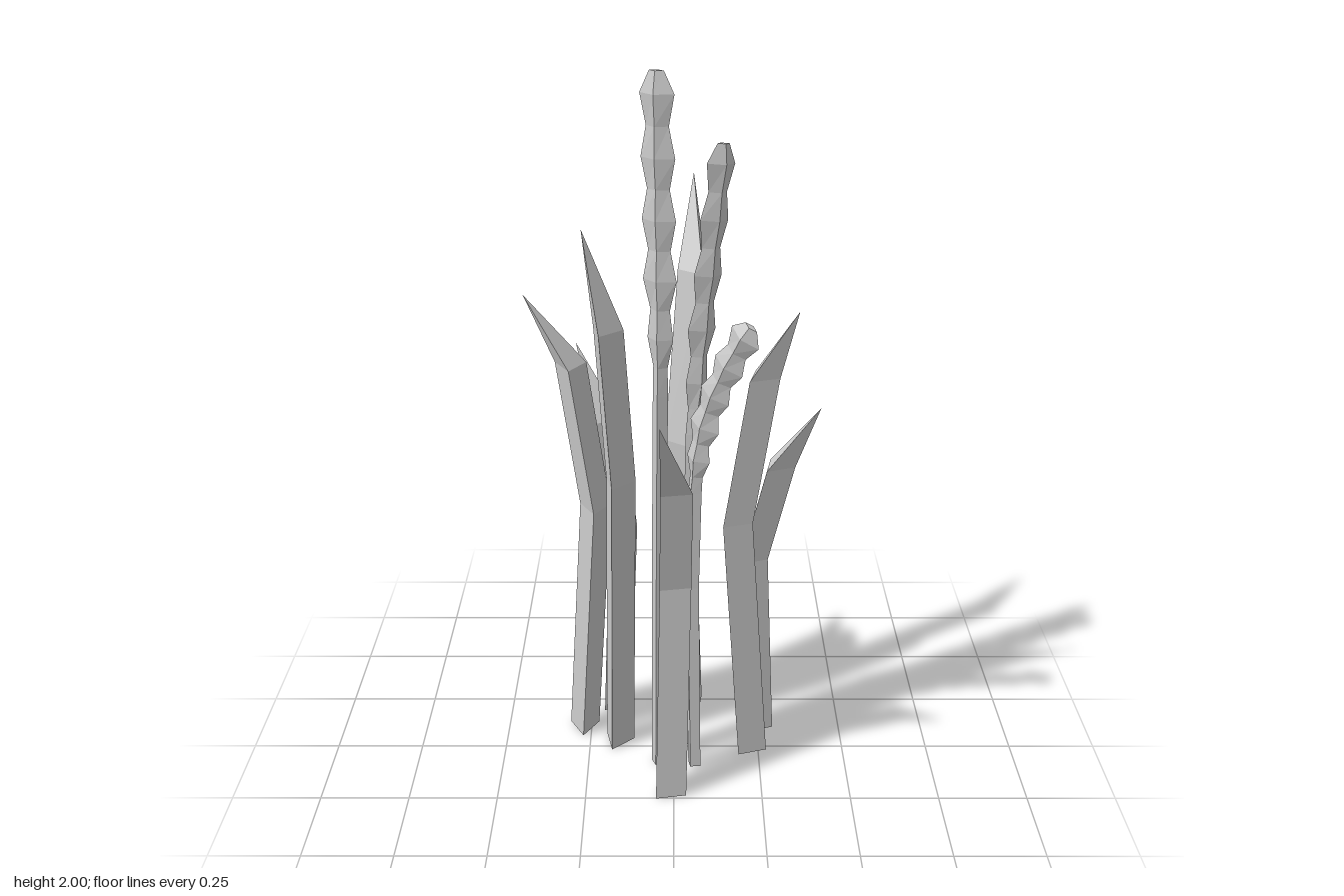
import * as THREE from 'three';

const V = (x, y, z) => new THREE.Vector3(x, y, z);
const material = new THREE.MeshStandardMaterial({ color: 0xcccccc, flatShading: true });

// Joins a stack of equal-sized rings into a closed, faceted skin
function skin(name, rings) {
  const pos = [];
  const tri = (a, b, c) => {
    const area = b.clone().sub(a).cross(c.clone().sub(a)).length();
    if (area > 1e-8) for (const p of [a, b, c]) pos.push(p.x, p.y, p.z);
  };
  const n = rings[0].length, last = rings[rings.length - 1];
  for (let i = 0; i + 1 < rings.length; i++) {
    for (let k = 0; k < n; k++) {
      const j = (k + 1) % n, lo = rings[i], hi = rings[i + 1];
      tri(lo[k], hi[k], lo[j]);
      tri(lo[j], hi[k], hi[j]);
    }
  }
  for (let k = 1; k + 1 < n; k++) {
    tri(rings[0][0], rings[0][k], rings[0][k + 1]);
    tri(last[0], last[k + 1], last[k]);
  }
  const geometry = new THREE.BufferGeometry();
  geometry.setAttribute('position', new THREE.Float32BufferAttribute(pos, 3));
  geometry.computeVertexNormals();
  const mesh = new THREE.Mesh(geometry, material);
  mesh.name = name;
  return mesh;
}

// Grass blade: three-sided prism, kinked inwards, then bent out to a sharp tip
function blade({ name, ridge, base, bend, neck, tip, neckY, tipY }) {
  const ring = ([x, z], y, r) => [0, 1, 2].map((k) => {
    const a = THREE.MathUtils.degToRad(ridge + k * 120);
    return V(x + r * Math.cos(a), y, z + r * Math.sin(a));
  });
  return skin(name, [
    ring(base, 0, 0.05), ring(bend, tipY * 0.55, 0.05),
    ring(neck, neckY, 0.05), ring(tip, tipY, 0),
  ]);
}

// Grain stalk: thin stem that swells into a flat ear with notched edges
function stalk({ name, wide, path, earStart, notches }) {
  const group = new THREE.Group();
  group.name = name;
  const curve = new THREE.CatmullRomCurve3(path.map((p) => V(...p)));
  const wideDir = V(wide[0], 0, wide[1]).normalize();
  const ring = (u, w, t) => {
    const c = curve.getPointAt(u);
    const along = u === 0 ? V(0, 1, 0) : curve.getTangentAt(u);
    const W = wideDir.clone().addScaledVector(along, -wideDir.dot(along)).normalize();
    const T = W.clone().cross(along);
    return [[w, 0], [0, t], [-w, 0], [0, -t]].map(([a, b]) =>
      c.clone().addScaledVector(W, a).addScaledVector(T, b));
  };
  const stem = [0, 0.33, 0.67, 1].map((f) => ring(f * earStart, 0.022, 0.02));
  const ear = [ring(earStart, 0.022, 0.02)];
  for (let i = 1; i <= notches * 2; i++) {
    const f = i / (notches * 2 + 0.7);
    const swell = Math.min(1, 0.55 + f * 1.2);
    const peak = i % 2 === 0;
    ear.push(ring(earStart + (1 - earStart) * f,
      (peak ? 0.047 : 0.031) * swell, peak ? 0.023 : 0.018));
  }
  ear.push(ring(1, 0.02, 0.01));
  group.add(skin('stem', stem), skin('ear', ear));
  return group;
}

// Positions are [x, z]; ridge is the heading of the sharp back edge in degrees
const blades = [
  { name: 'frontBlade', ridge: 20, base: [-0.012, 0.22], bend: [0, 0.18],
    neck: [0.003, 0.225], tip: [-0.035, 0.35], neckY: 0.95, tipY: 1.18 },
  { name: 'leftTallBlade', ridge: 13, base: [0.225, 0.005], bend: [0.17, 0.008],
    neck: [0.235, -0.002], tip: [0.33, 0.015], neckY: 1.18, tipY: 1.37 },
  { name: 'leftShortBlade', ridge: 10, base: [0.25, -0.11], bend: [0.222, -0.108],
    neck: [0.292, -0.108], tip: [0.408, -0.1], neckY: 0.87, tipY: 1.05 },
  { name: 'backTallBlade', ridge: -53, base: [0.057, -0.232], bend: [0.025, -0.2],
    neck: [0.06, -0.255], tip: [0.055, -0.355], neckY: 1.4, tipY: 1.65 },
  { name: 'rightOuterBlade', ridge: 211, base: [-0.272, -0.105], bend: [-0.224, -0.084],
    neck: [-0.284, -0.093], tip: [-0.408, -0.125], neckY: 1.18, tipY: 1.37 },
  { name: 'rightTallBlade', ridge: 228, base: [-0.168, -0.03], bend: [-0.155, -0.015],
    neck: [-0.183, -0.03], tip: [-0.243, -0.06], neckY: 1.3, tipY: 1.57 },
  { name: 'backShortBlade', ridge: 249, base: [-0.182, -0.228], bend: [-0.157, -0.194],
    neck: [-0.198, -0.214], tip: [-0.28, -0.3], neckY: 0.97, tipY: 1.17 },
];

const stalks = [
  { name: 'tallStalk', wide: [0.9, 0.4], earStart: 0.58, notches: 5,
    path: [[-0.045, 0, 0.075], [-0.04, 0.7, 0.075], [-0.035, 1.3, 0.075], [-0.042, 2, 0.073]] },
  { name: 'middleStalk', wide: [0.8, -0.6], earStart: 0.56, notches: 5,
    path: [[0.055, 0, -0.025], [0.045, 0.9, -0.025], [0.065, 1.2, -0.04],
      [0.095, 1.5, -0.062], [0.127, 1.79, -0.08]] },
  { name: 'droopingStalk', wide: [0.8, 0.6], earStart: 0.62, notches: 5,
    path: [[0.06, 0, 0.085], [0.055, 0.85, 0.087], [0.08, 1.08, 0.105],
      [0.128, 1.24, 0.145], [0.193, 1.39, 0.195]] },
];

export function createModel() {
  const group = new THREE.Group();
  group.name = 'grassClump';
  for (const b of blades) group.add(blade(b));
  for (const s of stalks) group.add(stalk(s));
  return group;
}
